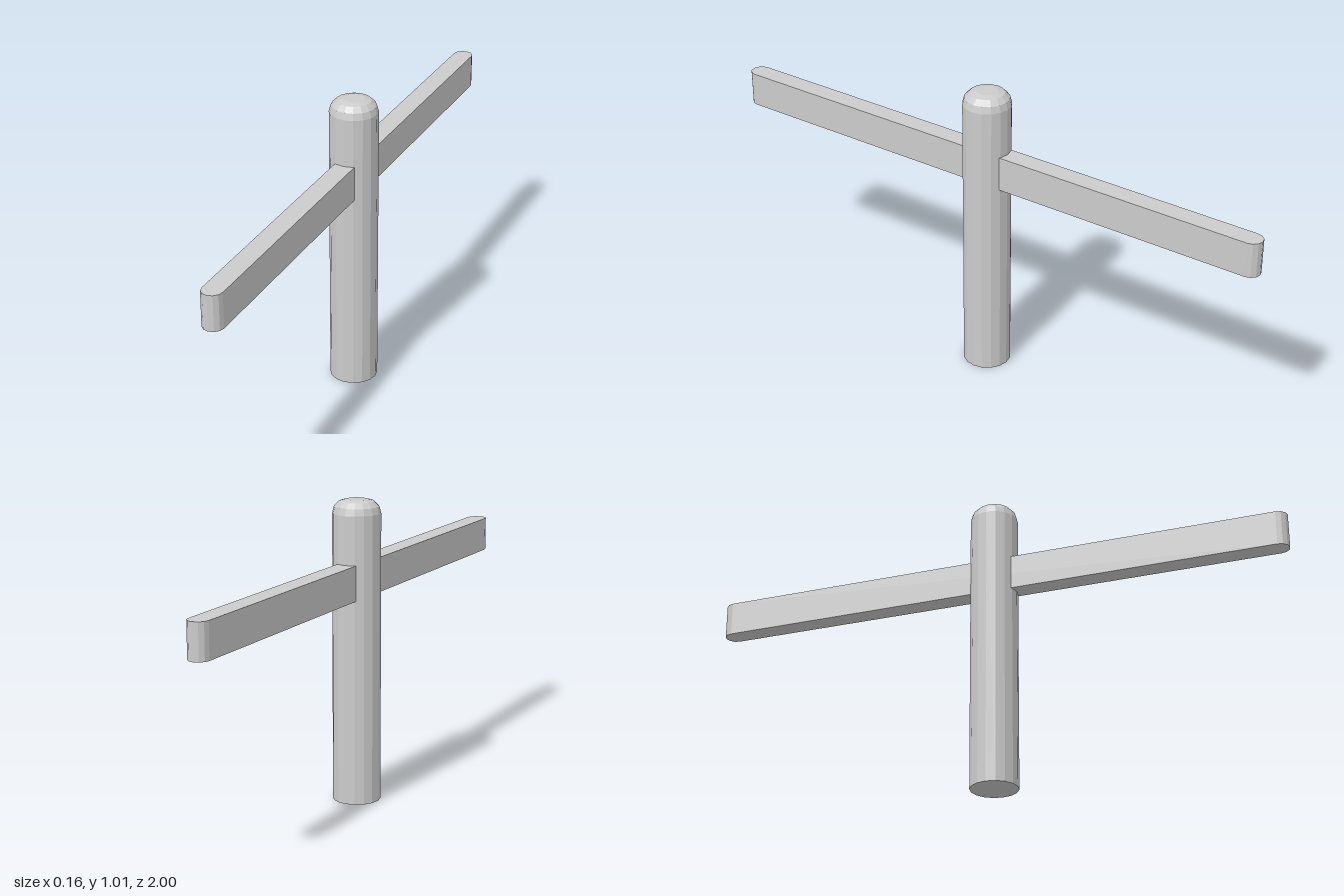
import * as THREE from 'three';

export function createModel() {
  const group = new THREE.Group();
  const material = new THREE.MeshStandardMaterial({ color: 0xcccccc, flatShading: true });

  // Post: 16-sided column with a rounded shoulder and flat top
  const radius = 0.08, fillet = 0.045, height = 1.013;
  const profile = [new THREE.Vector2(0, 0), new THREE.Vector2(radius, 0)];
  for (let i = 0; i <= 3; i++) {
    const a = (i / 3) * Math.PI / 2;
    profile.push(new THREE.Vector2(
      radius - fillet + fillet * Math.cos(a),
      height - fillet + fillet * Math.sin(a)));
  }
  profile.push(new THREE.Vector2(0, height));
  const post = new THREE.Mesh(new THREE.LatheGeometry(profile, 16), material);
  post.name = 'post';
  group.add(post);

  // Crossbar: flat bar with half-round ends, running front to back through the post
  const half = 0.034, reach = 1 - half, bottom = 0.69, depth = 0.117;
  const outline = new THREE.Shape();
  outline.absarc(0, reach, half, 0, Math.PI, false);
  outline.absarc(0, -reach, half, Math.PI, Math.PI * 2, false);
  outline.closePath();
  const barGeometry = new THREE.ExtrudeGeometry(outline, { depth, bevelEnabled: false, curveSegments: 3 });
  barGeometry.rotateX(-Math.PI / 2);
  barGeometry.translate(0, bottom, 0);
  const crossbar = new THREE.Mesh(barGeometry, material);
  crossbar.name = 'crossbar';
  group.add(crossbar);

  return group;
}
